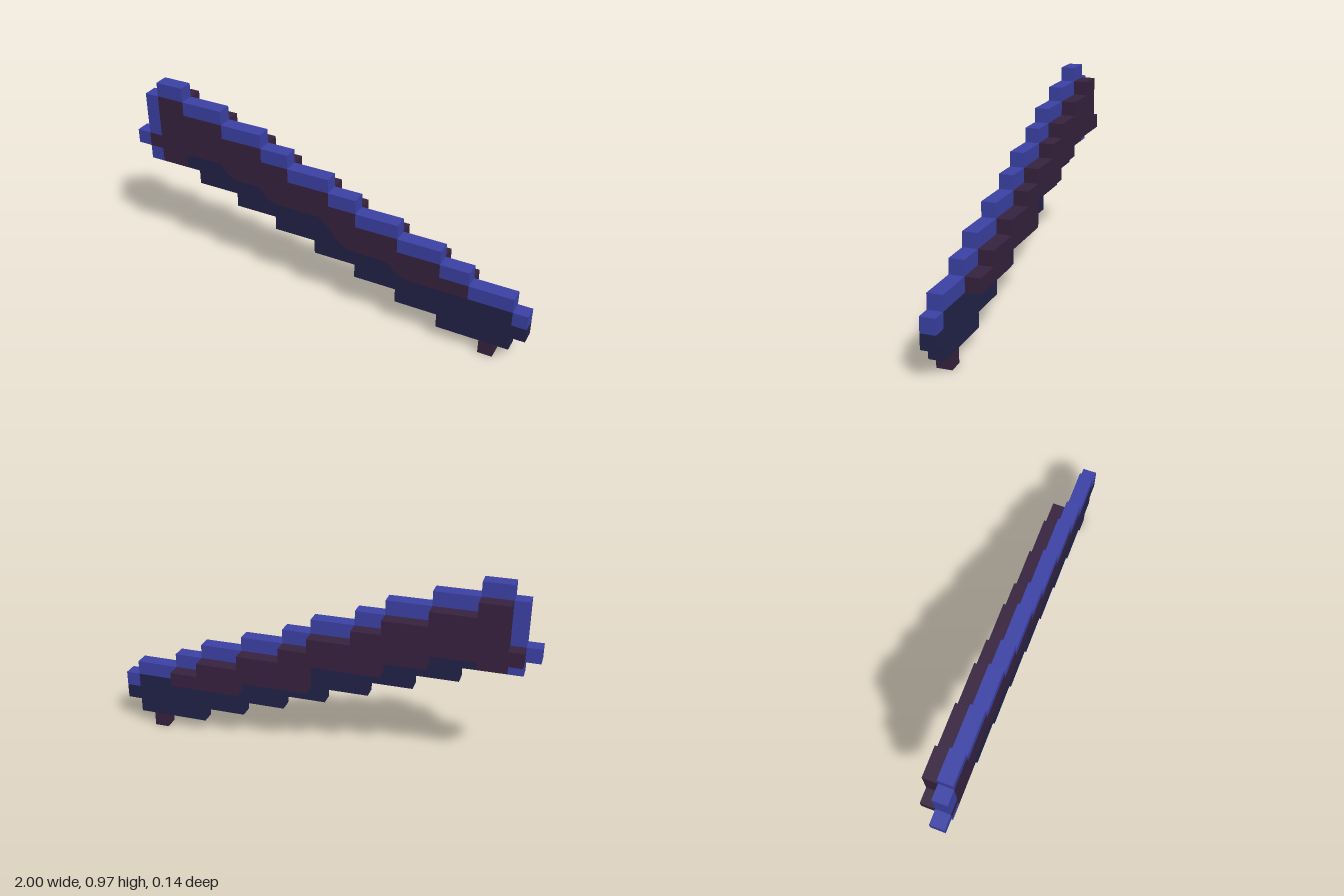
import * as THREE from 'three';

const U = 2 / 29; // one block

// Stepped upper edge: [first column, end column, top row]
const topSteps = [
  [2, 4, 14], [4, 7, 13], [7, 10, 12], [10, 12, 11], [12, 15, 10], [15, 17, 9],
  [17, 20, 8], [20, 23, 7], [23, 25, 6], [25, 28, 5], [28, 29, 4],
];

// Stepped lower edge: [first column, end column, bottom row]
const bottomSteps = [
  [4, 5, 8], [5, 8, 7], [8, 11, 6], [11, 14, 5], [14, 17, 4], [17, 20, 3], [20, 23, 2], [23, 28, 1],
];

// Softened colour border between the core and the lower band
const border = [
  [4, 8], [4, 8.7], [4.3, 9], [6.7, 9], [7.5, 8.2], [8, 8], [9.7, 8], [10.5, 7.2], [11, 7],
  [14.3, 7], [15, 6.4], [15.5, 5.7], [16.3, 5.1], [17, 5], [19.3, 5], [20, 4.3], [20.7, 4], [25, 4],
];

export function createModel() {
  const group = new THREE.Group();
  const material = (name, color) => {
    const m = new THREE.MeshStandardMaterial({ color });
    m.name = name;
    return m;
  };
  const blue = material('blue edge', 0x3c42a6);
  const purple = material('dark purple', 0x37223f);
  const navy = material('navy', 0x222349);

  // One block thick slab from an outline in block units
  const slab = (name, points, mat, z) => {
    const shape = new THREE.Shape(points.map(([c, r]) => new THREE.Vector2(c * U - 1, r * U)));
    const mesh = new THREE.Mesh(
      new THREE.ExtrudeGeometry(shape, { depth: U, bevelEnabled: false }), mat);
    mesh.name = name;
    mesh.position.z = z;
    group.add(mesh);
  };

  // Box covering columns c0..c1 and rows r0..r1 of the front layer
  const block = (name, c0, c1, r0, r1, mat) => {
    const mesh = new THREE.Mesh(new THREE.BoxGeometry((c1 - c0) * U, (r1 - r0) * U, U), mat);
    mesh.name = name;
    mesh.position.set((c0 + c1) / 2 * U - 1, (r0 + r1) / 2 * U, U / 2);
    group.add(mesh);
  };

  // Blue upper edge and end cap
  for (const [a, b, top] of topSteps) block('upperEdge', a, b, top - 1, top, blue);
  block('endTip', 0, 1, 9, 10, blue);
  block('endCapUpper', 1, 2, 10, 13, blue);
  block('endCapLower', 1, 2, 8, 9, blue);

  // Core outline just below the upper edge
  const coreTop = [[1, 9], [1, 10], [2, 10]];
  for (const [a, b, top] of topSteps.slice(0, 9)) coreTop.push([a, top - 1], [b, top - 1]);

  // Front core
  slab('frontCore', [...coreTop, ...[...border].reverse(), [2, 8], [2, 9]], purple, 0);

  // Back layer
  slab('backCore', [...coreTop, [25, 4], [20, 4], [20, 5], [15, 5], [15, 7],
    [10, 7], [10, 8], [7, 8], [7, 9]], purple, -U);

  // Lower band
  const lower = [...border, [28, 4], [28, 3], [29, 3], [29, 2], [28, 2]];
  for (const [a, b, r] of [...bottomSteps].reverse()) {
    lower.push([b, r]);
    if (a > 4) lower.push([a, r]);
  }
  slab('lowerBand', lower, navy, 0);

  // Peg under the narrow end
  block('peg', 26, 27, 0, 1, purple);

  return group;
}
